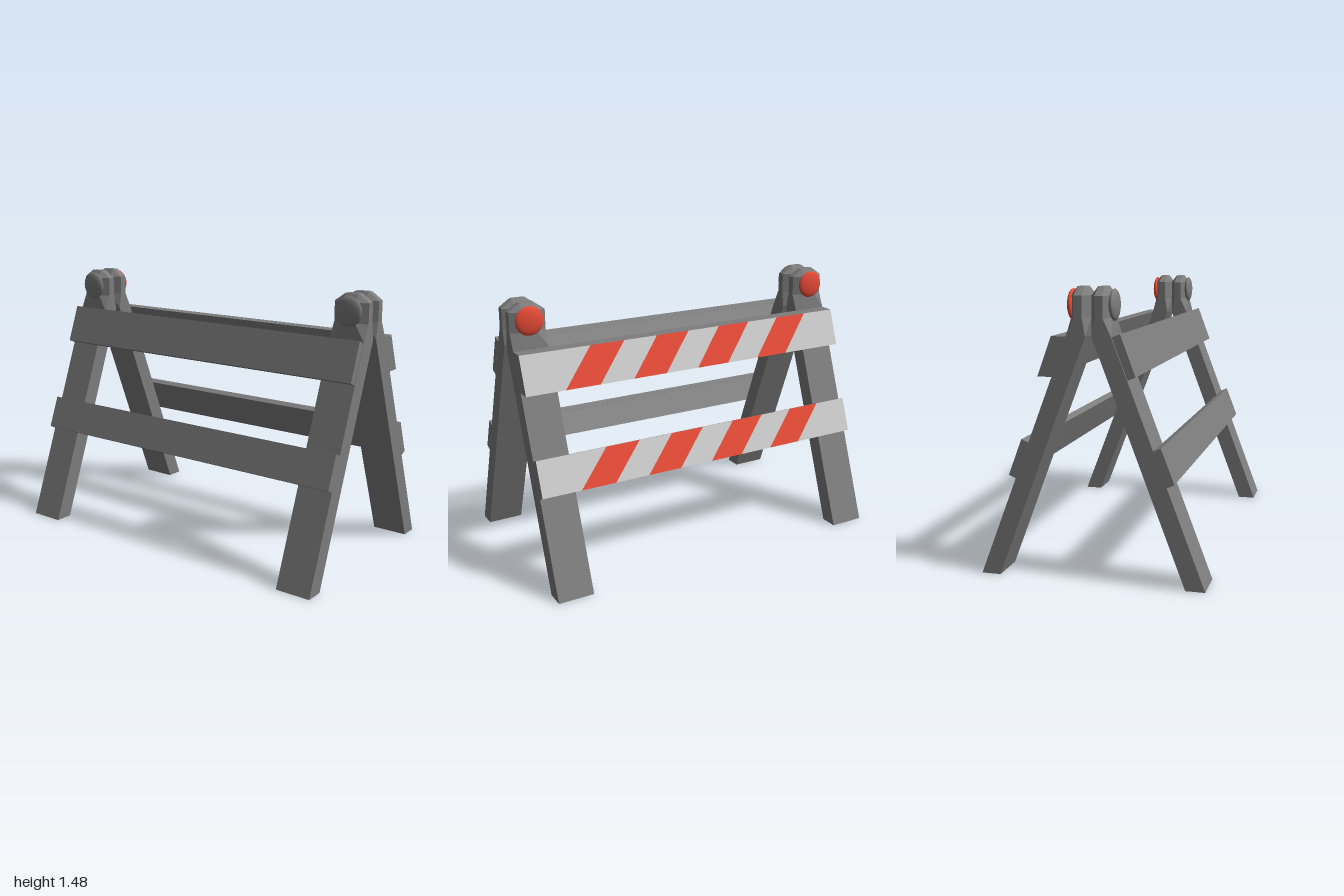
import * as THREE from 'three';

const paint = (color) => new THREE.MeshStandardMaterial({ color, flatShading: true });
const frameMat = paint(0x7d7d7d);
const boardMat = paint(0xcccccc);
const redMat = paint(0xe64a36);
const lampRed = new THREE.MeshStandardMaterial({ color: 0xe64a36 });
const lampGrey = new THREE.MeshStandardMaterial({ color: 0x7d7d7d });

function mesh(name, geometry, material) {
  const m = new THREE.Mesh(geometry, material);
  m.name = name;
  return m;
}

// Extrude an xy outline along z, centred on z = 0
function prism(points, length) {
  const shape = new THREE.Shape(points.map(([x, y]) => new THREE.Vector2(x, y)));
  const g = new THREE.ExtrudeGeometry(shape, { depth: length, bevelEnabled: false });
  return g.translate(0, 0, -length / 2);
}

function fromQuads(quads) {
  const pos = quads.flatMap(([a, b, c, d]) => [a, b, c, a, c, d].flat());
  const g = new THREE.BufferGeometry();
  g.setAttribute('position', new THREE.Float32BufferAttribute(pos, 3));
  g.computeVertexNormals();
  return g;
}

// Octagonal ring: x range, half depth and chamfers at height y
function ring(y, x0, x1, h, cx, cz) {
  return [
    [x1, h - cz], [x1, cz - h], [x1 - cx, -h], [x0 + cx, -h],
    [x0, cz - h], [x0, h - cz], [x0 + cx, h], [x1 - cx, h],
  ].map(([x, z]) => [x, y, z]);
}

// Chamfered hinge head on top of a leg
function headGeometry() {
  const rings = [
    ring(1.235, 0.016, 0.114, 0.1, 0, 0),
    ring(1.325, 0, 0.104, 0.1, 0.032, 0.06),
    ring(1.432, 0, 0.104, 0.1, 0.032, 0.06),
    ring(1.475, 0.033, 0.071, 0.04, 0.004, 0.004),
  ];
  const quads = [];
  for (let r = 0; r < rings.length - 1; r++) {
    for (let i = 0; i < 8; i++) {
      const j = (i + 1) % 8;
      quads.push([rings[r][i], rings[r][j], rings[r + 1][j], rings[r + 1][i]]);
    }
  }
  const top = rings[rings.length - 1];
  for (let i = 1; i < 6; i += 2) quads.push([top[0], top[i], top[i + 1], top[i + 2]]);
  return fromQuads(quads);
}

// Painted panels on a +x facing board side, from bottom edge to top edge;
// low and high list the z positions of the panel borders
function panels(bottom, top, low, high) {
  const group = new THREE.Group();
  group.name = 'paintedFace';
  const lift = 0.0012;
  for (let i = 0; i < low.length - 1; i++) {
    const quad = [
      [bottom[0] + lift, bottom[1], low[i]],
      [bottom[0] + lift, bottom[1], low[i + 1]],
      [top[0] + lift, top[1], high[i + 1]],
      [top[0] + lift, top[1], high[i]],
    ];
    const red = i % 2 === 1;
    group.add(mesh(red ? 'redStripe' : 'palePanel', fromQuads([quad]), red ? redMat : boardMat));
  }
  return group;
}

export function createModel() {
  const model = new THREE.Group();
  model.name = 'barricade';

  // Four legs, each with a hinge head and a lamp
  const legGeo = prism([[0.485, 0], [0.585, 0], [0.114, 1.235], [0.016, 1.235]], 0.2);
  const headGeo = headGeometry();
  const lampGeo = new THREE.SphereGeometry(1, 24, 16).scale(0.022, 0.078, 0.078);
  for (const left of [true, false]) {
    for (const z of [0.9, -0.9]) {
      const leg = new THREE.Group();
      leg.name = left ? 'leftLeg' : 'rightLeg';
      leg.position.z = z;
      if (!left) leg.rotation.y = Math.PI;
      const lamp = mesh('lamp', lampGeo, left ? lampRed : lampGrey);
      lamp.position.set(0.105, 1.385, 0);
      leg.add(mesh('post', legGeo, frameMat), mesh('head', headGeo, frameMat), lamp);
      model.add(leg);
    }
  }

  // Board outlines: inner top, outer top, outer bottom, inner bottom
  const boards = {
    leftUpperBoard: [[0.114, 1.235], [0.19, 1.235], [0.264, 1.035], [0.191, 1.035]],
    leftLowerBoard: [[0.318, 0.7], [0.355, 0.716], [0.425, 0.53], [0.39, 0.515]],
    rightUpperBoard: [[-0.117, 1.235], [-0.158, 1.252], [-0.235, 1.046], [-0.195, 1.03]],
    rightLowerBoard: [[-0.322, 0.69], [-0.36, 0.706], [-0.428, 0.53], [-0.39, 0.512]],
  };

  // Slanted stripe borders along the striped boards
  const low = [1], high = [1];
  for (let i = 0; i < 8; i++) {
    low.push(0.78 - 0.2 * i);
    high.push(0.6 - 0.2 * i);
  }
  low.push(-1);
  high.push(-1);

  for (const [name, outline] of Object.entries(boards)) {
    const board = new THREE.Group();
    board.name = name;
    board.add(mesh('plank', prism(outline, 2), frameMat));
    const [innerTop, outerTop, outerBottom, innerBottom] = outline;
    if (name.startsWith('left')) board.add(panels(outerBottom, outerTop, low, high));
    else board.add(panels(innerBottom, innerTop, [0.8, -0.8], [0.8, -0.8]));
    model.add(board);
  }
  return model;
}
